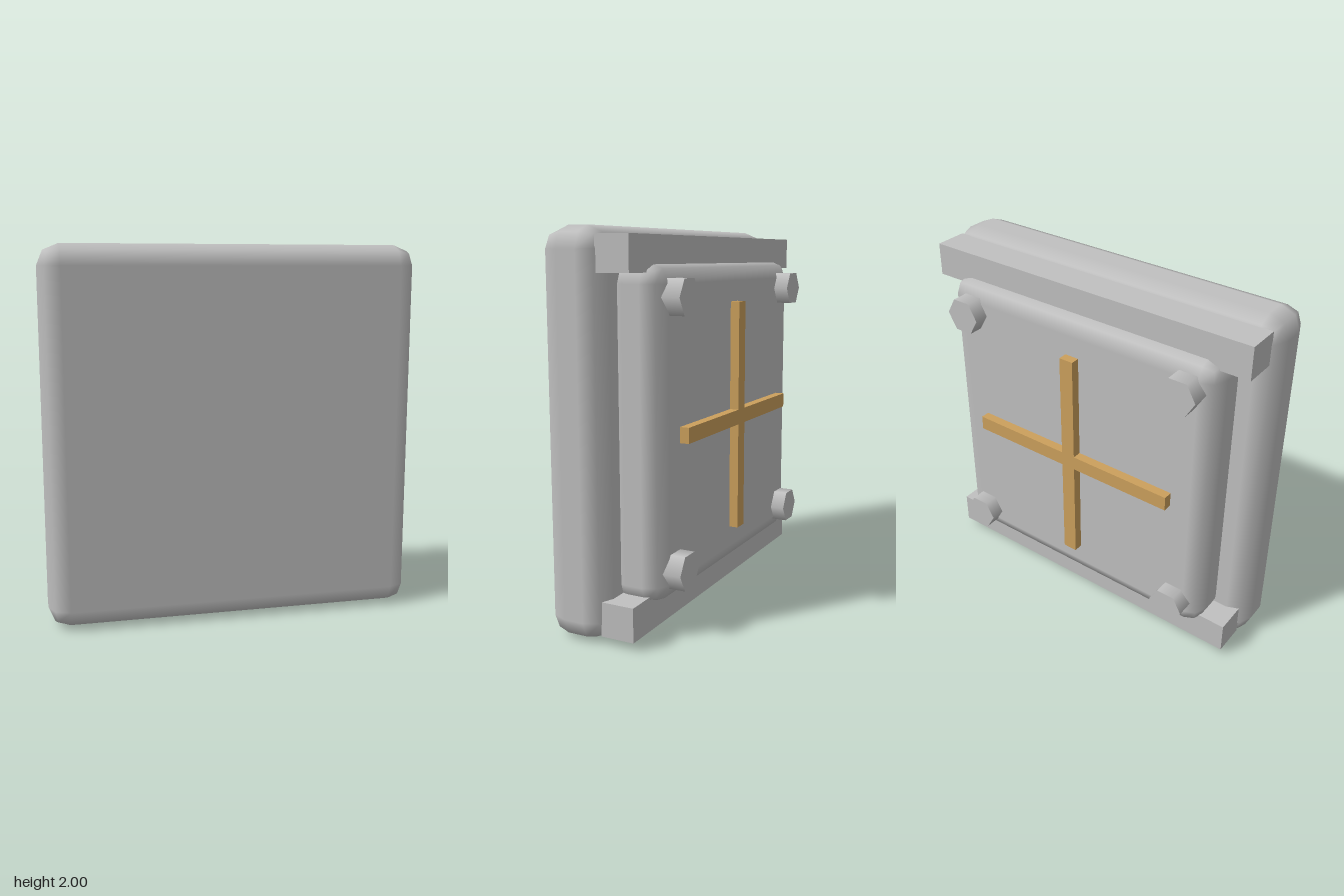
import * as THREE from 'three';
import { RoundedBoxGeometry } from 'three/addons/geometries/RoundedBoxGeometry.js';

export function createModel() {
  const model = new THREE.Group();
  const grey = new THREE.MeshStandardMaterial({ color: 0xc0c0c0 });
  grey.name = 'grey metal';
  const brass = new THREE.MeshStandardMaterial({ color: 0xcca05c });
  brass.name = 'brass';

  const add = (name, geometry, material, x, y, z) => {
    const mesh = new THREE.Mesh(geometry, material);
    mesh.name = name;
    mesh.position.set(x, y, z);
    model.add(mesh);
  };

  // Thick front slab and smaller back plate, both with rounded edges
  add('frontSlab', new RoundedBoxGeometry(2, 2, 0.325, 1, 0.11), grey, 0, 1, 0.15);
  add('backPlate', new RoundedBoxGeometry(1.66, 1.66, 0.295, 1, 0.1), grey, 0, 1, -0.0875);

  // Square rails across the top and bottom
  const rail = new THREE.BoxGeometry(1.91, 0.175, 0.18);
  add('topRail', rail, grey, 0, 1.87, -0.07);
  add('bottomRail', rail, grey, 0, 0.13, -0.07);

  // Raised brass cross
  const z = -0.2575;
  add('crossUpright', new THREE.BoxGeometry(0.08, 1.24, 0.055), brass, 0, 1, z);
  for (const side of [-1, 1]) {
    add('crossArm', new THREE.BoxGeometry(0.58, 0.08, 0.055), brass, side * 0.33, 1, z);
  }

  // Hexagonal bolts in the corners, points facing sideways
  const bolt = new THREE.CylinderGeometry(0.1, 0.1, 0.1, 6, 1, false, Math.PI / 2);
  bolt.rotateX(-Math.PI / 2);
  for (const x of [-0.67, 0.67]) {
    for (const y of [0.335, 1.67]) add('bolt', bolt, grey, x, y, -0.265);
  }

  return model;
}
